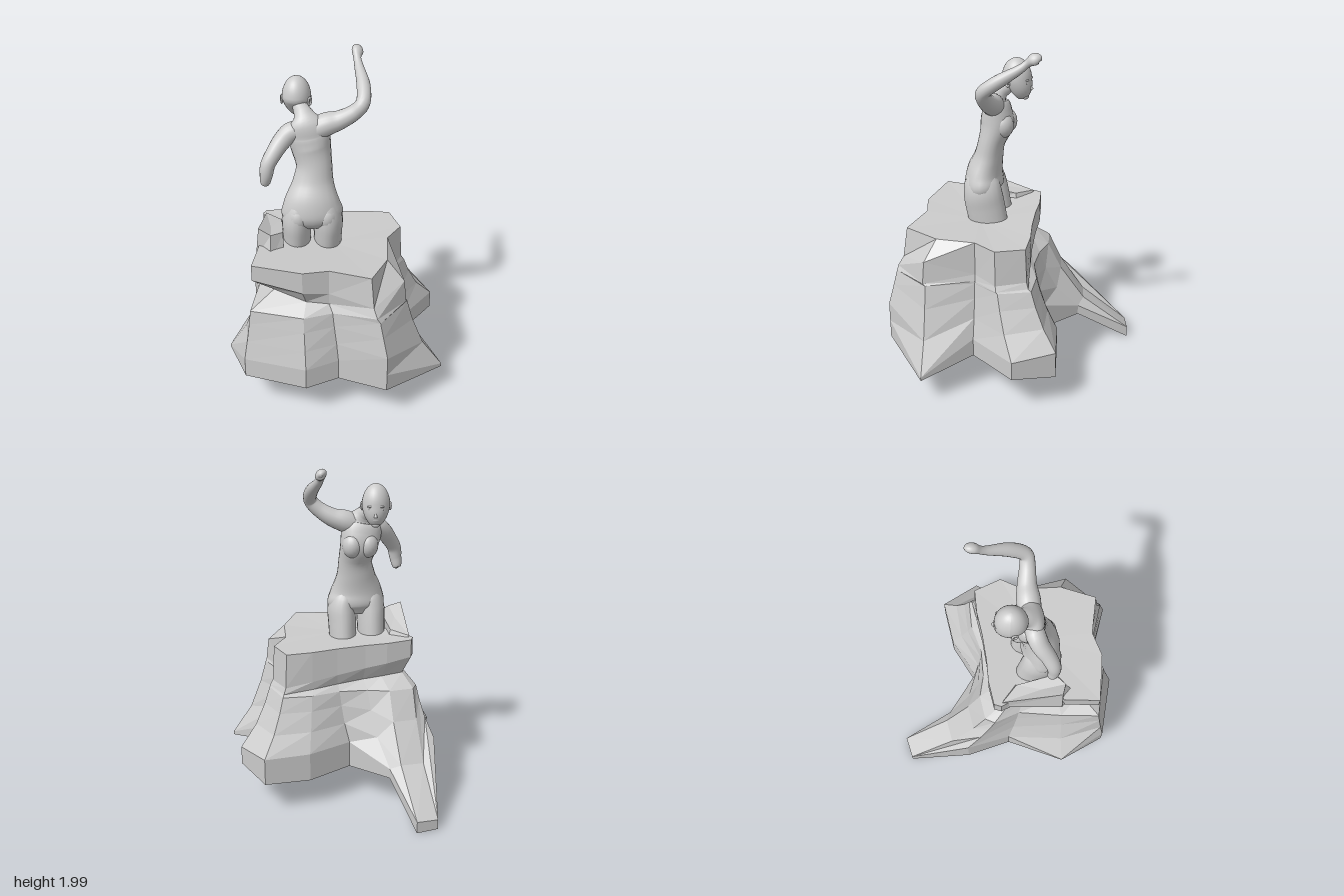
import * as THREE from 'three';

const V = (x, y, z) => new THREE.Vector3(x, y, z);
const smooth = new THREE.MeshStandardMaterial({ color: 0xcccccc });
const faceted = new THREE.MeshStandardMaterial({ color: 0xcccccc, flatShading: true });

function add(parent, name, geometry, material = smooth) {
  const mesh = new THREE.Mesh(geometry, material);
  mesh.name = name;
  parent.add(mesh);
  return mesh;
}

function ball(parent, name, [x, y, z], [rx, ry, rz]) {
  const mesh = add(parent, name, new THREE.SphereGeometry(1, 20, 14));
  mesh.position.set(x, y, z);
  mesh.scale.set(rx, ry, rz);
  return mesh;
}

// Smooth skin through elliptical sections [x, y, z, radius along ref, other radius]
function loft(sections, ref, steps = 5, sides = 20) {
  const path = new THREE.CatmullRomCurve3(sections.map(s => V(s[0], s[1], s[2])), false, 'catmullrom');
  const size = new THREE.CatmullRomCurve3(sections.map(s => V(s[3], s[4] ?? s[3], 0)), false, 'catmullrom');
  const n = (sections.length - 1) * steps, pos = [], index = [];
  for (let i = 0; i <= n; i++) {
    const c = path.getPoint(i / n), r = size.getPoint(i / n), t = path.getTangent(i / n);
    const u = ref.clone().addScaledVector(t, -ref.dot(t)).normalize(), v = t.clone().cross(u);
    for (let j = 0; j < sides; j++) {
      const a = j / sides * Math.PI * 2;
      const p = c.clone().addScaledVector(u, Math.cos(a) * r.x).addScaledVector(v, Math.sin(a) * r.y);
      pos.push(p.x, p.y, p.z);
      if (i < n) {
        const k = (j + 1) % sides, A = i * sides, B = A + sides;
        index.push(A + j, A + k, B + k, A + j, B + k, B + j);
      }
    }
  }
  const g = new THREE.BufferGeometry();
  g.setAttribute('position', new THREE.Float32BufferAttribute(pos, 3));
  g.setIndex(index);
  g.computeVertexNormals();
  return g;
}

// Faceted skin through rows of corners, closed by a fan at each end
function shell(rows, low, high) {
  const pos = [], n = rows[0].length, last = rows[rows.length - 1];
  const tri = (a, b, c) => {
    if (a.equals(b) || b.equals(c) || c.equals(a)) return;
    for (const p of [a, b, c]) pos.push(p.x, p.y, p.z);
  };
  for (let c = 0; c < n; c++) {
    const d = (c + 1) % n;
    for (let r = 0; r < rows.length - 1; r++) {
      tri(rows[r][d], rows[r][c], rows[r + 1][c]);
      tri(rows[r][d], rows[r + 1][c], rows[r + 1][d]);
    }
    tri(low, rows[0][c], rows[0][d]);
    tri(high, last[d], last[c]);
  }
  const g = new THREE.BufferGeometry();
  g.setAttribute('position', new THREE.Float32BufferAttribute(pos, 3));
  g.computeVertexNormals();
  return g;
}

function buildRock(group) {
  // foot of each column: x, y, z, height of its upright lip, bulge
  const foot = [
    [-.42, .01, -.70, .07, 0], [-.29, .01, -.72, .08, 0], [-.21, .20, -.40, .26, 0], [-.01, .20, -.20, .36, .1],
    [.25, .19, -.31, .36, .14], [.52, .20, -.33, .36, .1], [.63, .23, -.09, .34, .06], [.41, .23, .17, .34, .1],
    [.63, .17, .44, .19, .03], [.27, .23, .71, .34, .5], [0, .23, .59, .36, .3], [-.19, .23, .67, .36, .25],
    [-.54, .24, .55, .36, .2], [-.64, .24, .27, .25, -.02], [-.46, .22, -.05, .36, .1], [-.50, .20, -.32, .40, .1]];
  // rim of each column: x, z, depth of the crevice below it (negative swells outward), bevel of the top
  const rim = [
    [-.40, -.13, .12, 0], [-.25, -.14, .12, 0], [-.12, -.13, .1, 0], [.05, -.13, .06, 0],
    [.20, -.14, .02, 0], [.35, -.13, -.06, 0], [.40, .04, -.07, 0], [.31, .17, -.05, 0],
    [.37, .45, -.06, .2], [.18, .60, -.14, 0], [-.05, .53, .03, 0], [-.2, .56, .14, 0],
    [-.48, .49, .28, 0], [-.44, .28, .2, 0], [-.38, .04, .1, 0], [-.42, -.09, .12, 0]];
  const mix = THREE.MathUtils.lerp;
  const inset = (x, y, z, k) => V(mix(x, -.05, k), y, mix(z, .2, k));
  // flat sole, from which the long root drops away
  const rows = [foot.map(([x, y, z]) => y < .1 ? V(x, .2, z / 2) : V(x, y, z)),
    foot.map(([x, y, z]) => V(x, y, z))];
  for (const [f, h, b] of [[1, 0, 0], [.5, .36, 1], [.24, .72, 1], [.1, 1, .9]]) {
    rows.push(foot.map(([x, , z, lip, bulge], i) => {
      const k = f + b * bulge;
      return V(mix(rim[i][0], x, k), mix(lip, .67, h), mix(rim[i][1], z, k));
    }));
  }
  rows.push(rim.map(([x, z, n]) => inset(x, .71 - x * .08, z, n)));
  rows.push(rim.map(([x, z, n, bevel]) => inset(x, .78 - x * .18 + bevel * .5, z, Math.min(n, 0) * .45)));
  rows.push(rim.map(([x, z, , bevel]) => inset(x, .94 - x * .05, z, bevel)));
  add(group, 'rock', shell(rows, V(-.12, .21, 0), V(-.02, .925, .2)), faceted);

  // raised slab beside the figure
  const slab = [
    [V(-.40, .88, -.08), V(-.28, .88, 0), V(-.30, .88, .31), V(-.38, .88, .36), V(-.46, .88, .27)],
    [V(-.40, .97, -.08), V(-.31, .98, .02), V(-.30, 1.03, .25), V(-.37, 1.04, .30), V(-.44, 1.07, .27)]];
  add(group, 'raisedSlab', shell(slab, V(-.37, .88, .15), V(-.37, 1.01, .16)), faceted);
}

function buildHead(group) {
  const head = new THREE.Group();
  head.name = 'head';
  head.position.set(-.205, 1.757, 0);
  head.rotation.y = -.25;
  group.add(head);
  // skull narrowing to the jaw and chin
  const g = new THREE.SphereGeometry(1, 28, 22), p = g.attributes.position;
  for (let i = 0; i < p.count; i++) {
    const y = p.getY(i), k = Math.max(0, -y);
    let x = p.getX(i) * (1 - .15 * k), z = p.getZ(i);
    z = (z > 0 ? z * (1 - .6 * k) : z) - .28 * k;
    p.setXYZ(i, x * .082, y * .123, z * .09);
  }
  g.computeVertexNormals();
  add(head, 'skull', g);
  const nose = add(head, 'nose', new THREE.ConeGeometry(.011, .042, 10));
  nose.position.set(0, -.036, -.089);
  nose.rotation.x = .25;
  ball(head, 'lips', [0, -.075, -.078], [.02, .008, .009]);
  ball(head, 'chin', [0, -.105, -.055], [.024, .017, .02]);
  for (const s of [-1, 1]) {
    ball(head, 'eye', [s * .03, -.014, -.077], [.013, .007, .007]);
    ball(head, 'brow', [s * .03, .004, -.08], [.02, .006, .007]);
    const ear = add(head, 'ear', new THREE.TorusGeometry(.014, .006, 8, 14));
    ear.position.set(s * .08, -.01, .025);
    ear.rotation.y = Math.PI / 2 - s * .4;
    ear.scale.y = 1.4;
  }
}

function buildFigure(group) {
  const X = V(1, 0, 0);
  add(group, 'torso', loft([
    [-.13, 1.06, .18, .13, .08], [-.13, 1.12, .185, .176, .114], [-.13, 1.20, .182, .158, .108],
    [-.122, 1.30, .156, .119, .087], [-.115, 1.40, .135, .102, .08], [-.13, 1.50, .106, .113, .098],
    [-.145, 1.58, .108, .122, .087], [-.155, 1.64, .118, .110, .068], [-.167, 1.685, .095, .06, .052],
    [-.187, 1.72, .05, .043, .045], [-.2, 1.77, .02, .04, .045]], X));

  for (const s of [-1, 1]) {
    const x = -.13 + s * .09;
    add(group, 'thigh', loft([
      [x, .91, .148, .08, .118], [x, 1.0, .165, .083, .12],
      [x, 1.09, .18, .085, .117], [x - s * .012, 1.17, .182, .07, .1], [x - s * .03, 1.24, .17, .04, .06]], X));
    ball(group, 'buttock', [x - s * .01, 1.12, .212], [.072, .09, .086]);
    ball(group, 'breast', [-.128 + s * .046, 1.505, .06 + s * .004], [.06, .075, .064]);
  }

  // raised arm with closed hand
  add(group, 'raisedArm', loft([
    [-.13, 1.60, .12, .06], [-.05, 1.64, .12, .066], [.03, 1.668, .125, .054], [.11, 1.72, .14, .044],
    [.155, 1.775, .135, .040], [.162, 1.84, .05, .038], [.145, 1.905, -.06, .026],
    [.138, 1.94, -.105, .022], [.142, 1.965, -.14, .036, .028], [.145, 1.97, -.17, .028, .022],
    [.145, 1.965, -.185, .003]], V(1, -1, 0)));

  // lowered arm ending at the wrist
  add(group, 'loweredArm', loft([
    [-.17, 1.60, .12, .05], [-.235, 1.605, .125, .055], [-.29, 1.56, .145, .052], [-.335, 1.505, .18, .046],
    [-.372, 1.445, .205, .042], [-.383, 1.385, .21, .037], [-.392, 1.325, .2, .026],
    [-.394, 1.315, .197, .003]], V(0, 0, 1)));
  buildHead(group);
}

export function createModel() {
  const model = new THREE.Group();
  model.name = 'figureOnRock';
  const rock = new THREE.Group(), figure = new THREE.Group();
  rock.name = 'rockBase';
  figure.name = 'figure';
  buildRock(rock);
  buildFigure(figure);
  model.add(rock, figure);
  return model;
}
